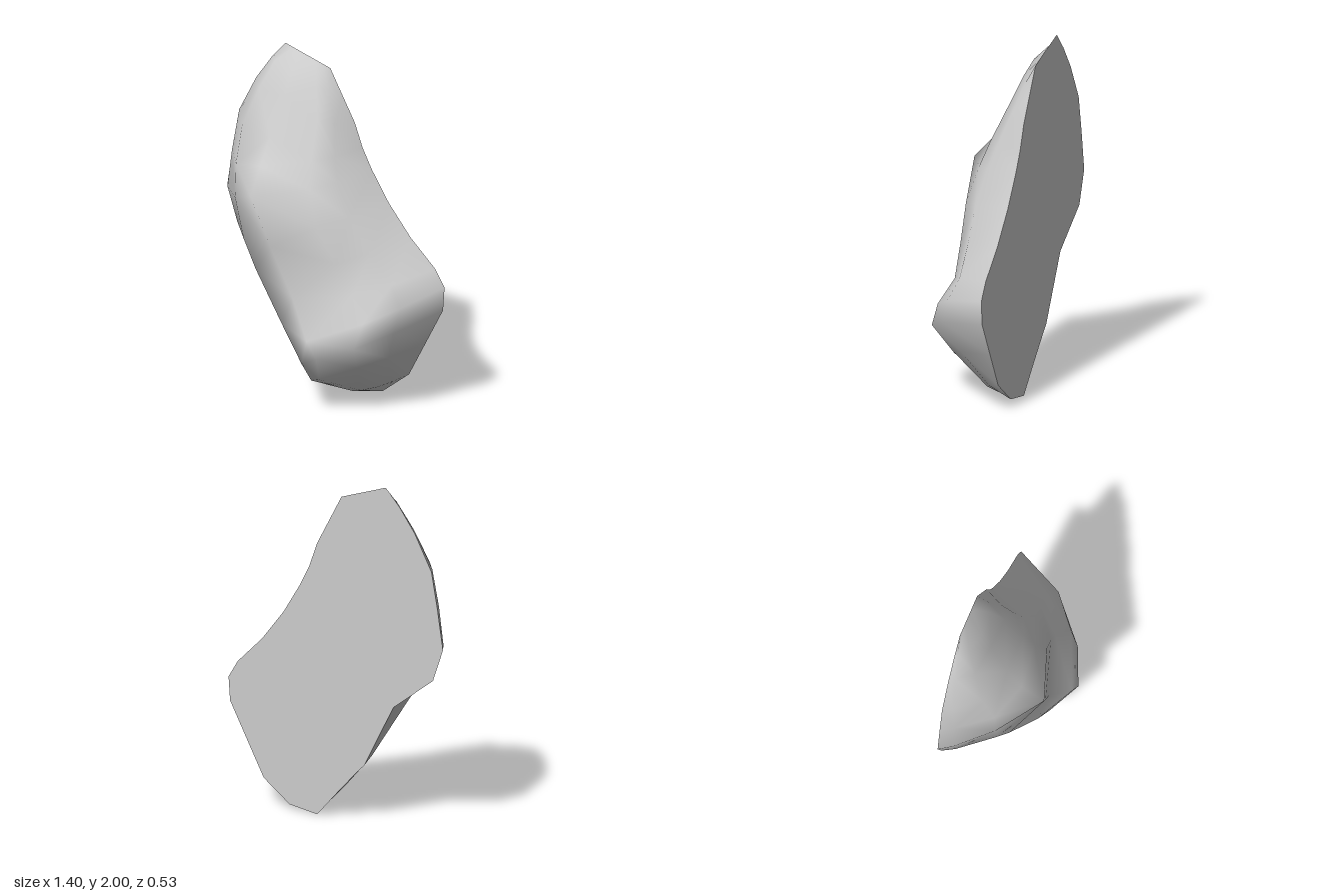
import * as THREE from 'three';

const BACK = -0.265;

// Cross-sections from top to bottom: left edge (x, y), three surface points (x, y, z), right edge (x, y)
const SECTIONS = [
  [[-0.42, 1.9], [-0.36, 1.91, -0.2], [-0.24, 1.87, -0.165], [-0.08, 1.82, -0.175], [0.04, 1.75]],
  [[-0.52, 1.76], [-0.43, 1.75, -0.14], [-0.25, 1.74, -0.11], [-0.03, 1.64, -0.1], [0.12, 1.6]],
  [[-0.63, 1.55], [-0.5, 1.54, -0.07], [-0.28, 1.53, 0], [-0.01, 1.43, 0], [0.17, 1.46]],
  [[-0.67, 1.33], [-0.5, 1.33, 0], [-0.29, 1.38, 0.09], [0.01, 1.28, 0.06], [0.23, 1.34]],
  [[-0.705, 1.1], [-0.5, 1.13, 0.01], [-0.28, 1.24, 0.22], [0.08, 1.08, 0.11], [0.34, 1.16]],
  [[-0.64, 0.91], [-0.45, 0.89, 0], [-0.17, 0.95, 0.19], [0.2, 0.88, 0.09], [0.48, 0.98]],
  [[-0.38, 0.71], [-0.35, 0.74, 0.04], [-0.04, 0.66, 0.165], [0.3, 0.7, 0.08], [0.64, 0.82]],
  [[-0.19, 0.34], [-0.13, 0.48, 0.13], [0.1, 0.45, 0.25], [0.4, 0.57, 0.14], [0.7, 0.72]],
  [[-0.1, 0.245], [0.01, 0.27, 0.15], [0.17, 0.36, 0.265], [0.37, 0.43, 0.19], [0.69, 0.58]],
  [[0, 0.135], [0.07, 0.18, 0.145], [0.13, 0.2, 0.16], [0.33, 0.28, 0.08], [0.58, 0.37]],
  [[0.11, 0.01], [0.16, 0.03, -0.18], [0.23, 0.06, -0.14], [0.34, 0.1, -0.14], [0.47, 0.16]],
];

const point = ([x, y, z = BACK]) => new THREE.Vector3(x, y, z);

// Adds a steep rim beside the left edge and a bulging shoulder before the right edge
function sectionRow(section) {
  const [left, a, b, c, right] = section.map(point);
  const rim = left.clone().lerp(a, 0.2);
  rim.z += 0.07 * (a.z - BACK);
  const shoulder = c.clone().lerp(right, 0.55);
  shoulder.z += 0.22 * (c.z - BACK);
  return [left, rim, a, b, c, shoulder, right];
}

// Straight closing edge lying in the back plane
function endRow(a, b) {
  return Array.from({ length: 7 }, (_, i) => point(a).lerp(point(b), i / 6));
}

export function createModel() {
  const group = new THREE.Group();
  group.name = 'rock';
  const material = new THREE.MeshStandardMaterial({ color: 0xcccccc });

  const rows = [
    endRow([-0.33, 2], [-0.04, 1.9]),
    ...SECTIONS.map(sectionRow),
    endRow([0.12, 0], [0.3, 0.03]),
  ];

  // Rounded front: quads split along their shorter diagonal
  const index = [];
  for (let i = 0; i < rows.length - 1; i++) {
    for (let j = 0; j < 6; j++) {
      const a = i * 7 + j, b = a + 1, c = a + 7, d = a + 8;
      const ad = rows[i][j].distanceTo(rows[i + 1][j + 1]);
      const bc = rows[i][j + 1].distanceTo(rows[i + 1][j]);
      if (ad < bc) index.push(a, c, d, a, d, b);
      else index.push(a, c, b, b, c, d);
    }
  }
  const front = new THREE.BufferGeometry().setFromPoints(rows.flat());
  front.setIndex(index);
  front.computeVertexNormals();
  const frontMesh = new THREE.Mesh(front, material);
  frontMesh.name = 'rockFace';

  // Flat back cut along the outline
  const left = rows.map((r) => new THREE.Vector2(r[0].x, r[0].y));
  const right = rows.map((r) => new THREE.Vector2(r[6].x, r[6].y)).reverse();
  const back = new THREE.ShapeGeometry(new THREE.Shape([...left, ...right]));
  back.translate(0, 0, BACK);
  const backMaterial = material.clone();
  backMaterial.side = THREE.DoubleSide;
  const backMesh = new THREE.Mesh(back, backMaterial);
  backMesh.name = 'flatBack';

  group.add(frontMesh, backMesh);
  return group;
}
